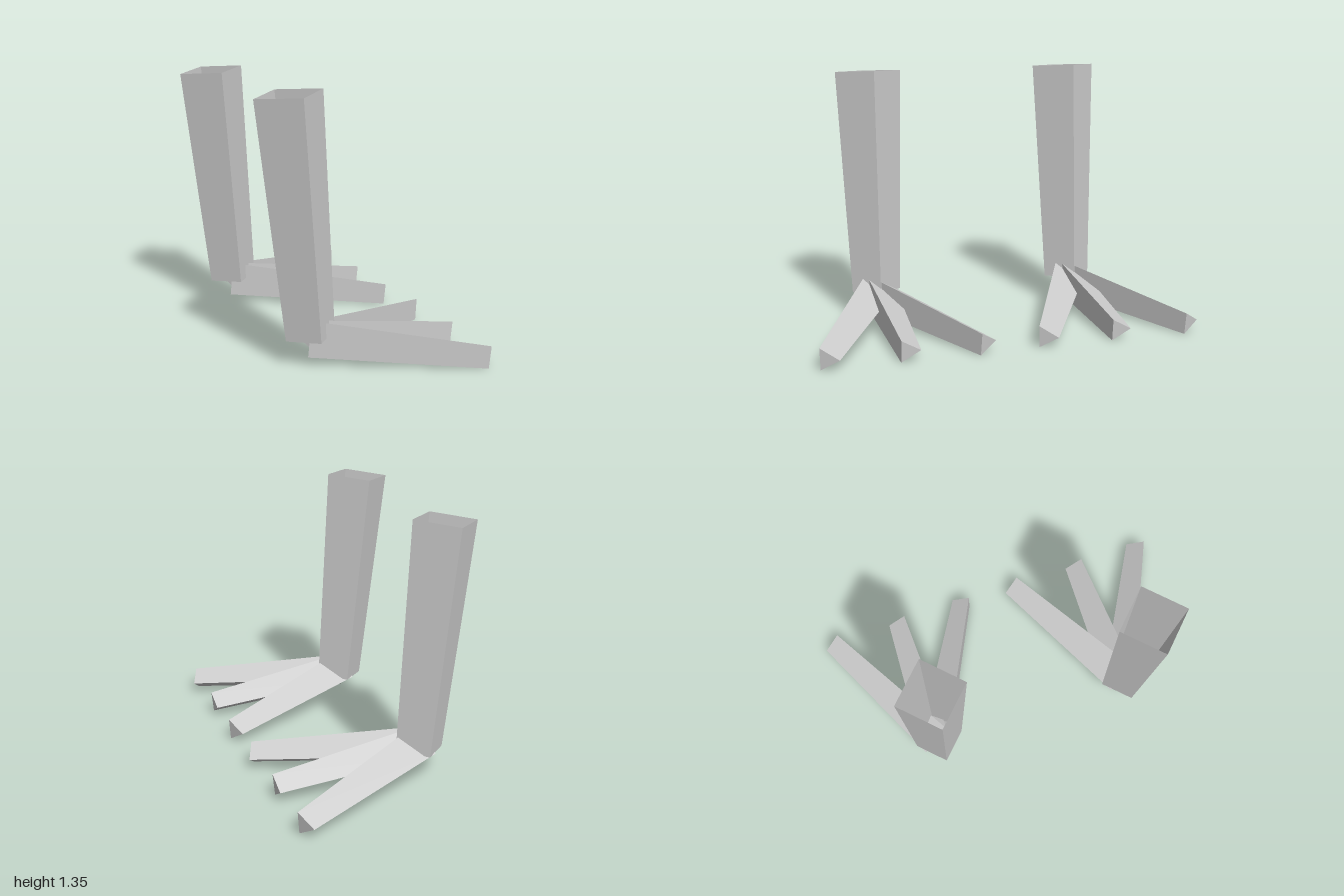
import * as THREE from 'three';

const V = (x, y, z) => new THREE.Vector3(x, y, z);

export function createModel() {
  const grey = new THREE.MeshStandardMaterial({ color: 0xcccccc, flatShading: true, side: THREE.DoubleSide });
  grey.name = 'light grey';

  // Tapered prism from a to b; its first corner points along the given direction
  function prism(name, a, b, radiusA, radiusB, sides, corner, open) {
    const axis = b.clone().sub(a);
    const geo = new THREE.CylinderGeometry(radiusB, radiusA, axis.length(), sides, 1, open);
    const dir = axis.normalize();
    const cross = dir.clone().cross(corner).normalize();
    const m = new THREE.Matrix4().makeBasis(cross, dir, cross.clone().cross(dir));
    m.setPosition(a.clone().add(b).multiplyScalar(0.5));
    const mesh = new THREE.Mesh(geo.applyMatrix4(m), grey);
    mesh.name = name;
    return mesh;
  }

  function createLeg(name) {
    const leg = new THREE.Group();
    leg.name = name;

    // Square shank, open at the top and closed at the bottom
    const ankle = V(-0.26, 0.14, 0), knee = V(-0.37, 1.334, 0);
    leg.add(prism('shank', ankle, knee, 0.131, 0.177, 4, V(0, 0, 1), true));
    const sole = new THREE.Mesh(new THREE.CircleGeometry(0.131, 4).rotateX(Math.PI / 2), grey);
    sole.name = 'shankBottom';
    sole.position.copy(ankle);
    sole.rotation.z = Math.atan2(0.11, 1.194);
    leg.add(sole);

    // Three triangular toes fanning out from the ankle
    const toes = [['leftToe', -0.4], ['middleToe', 0], ['rightToe', 0.398]];
    for (const [toeName, z] of toes) {
      const root = V(-0.26, 0.139, 0), tip = V(0.517, 0.058, z);
      const corner = V(0, 1, 0).cross(tip.clone().sub(root));
      leg.add(prism(toeName, root, tip, 0.108, 0.0665, 3, corner, false));
    }
    return leg;
  }

  const model = new THREE.Group();
  model.name = 'birdLegs';
  const front = createLeg('frontLeg');
  front.position.z = 0.568;
  const back = createLeg('backLeg');
  back.position.z = -0.544;
  model.add(front, back);
  return model;
}
